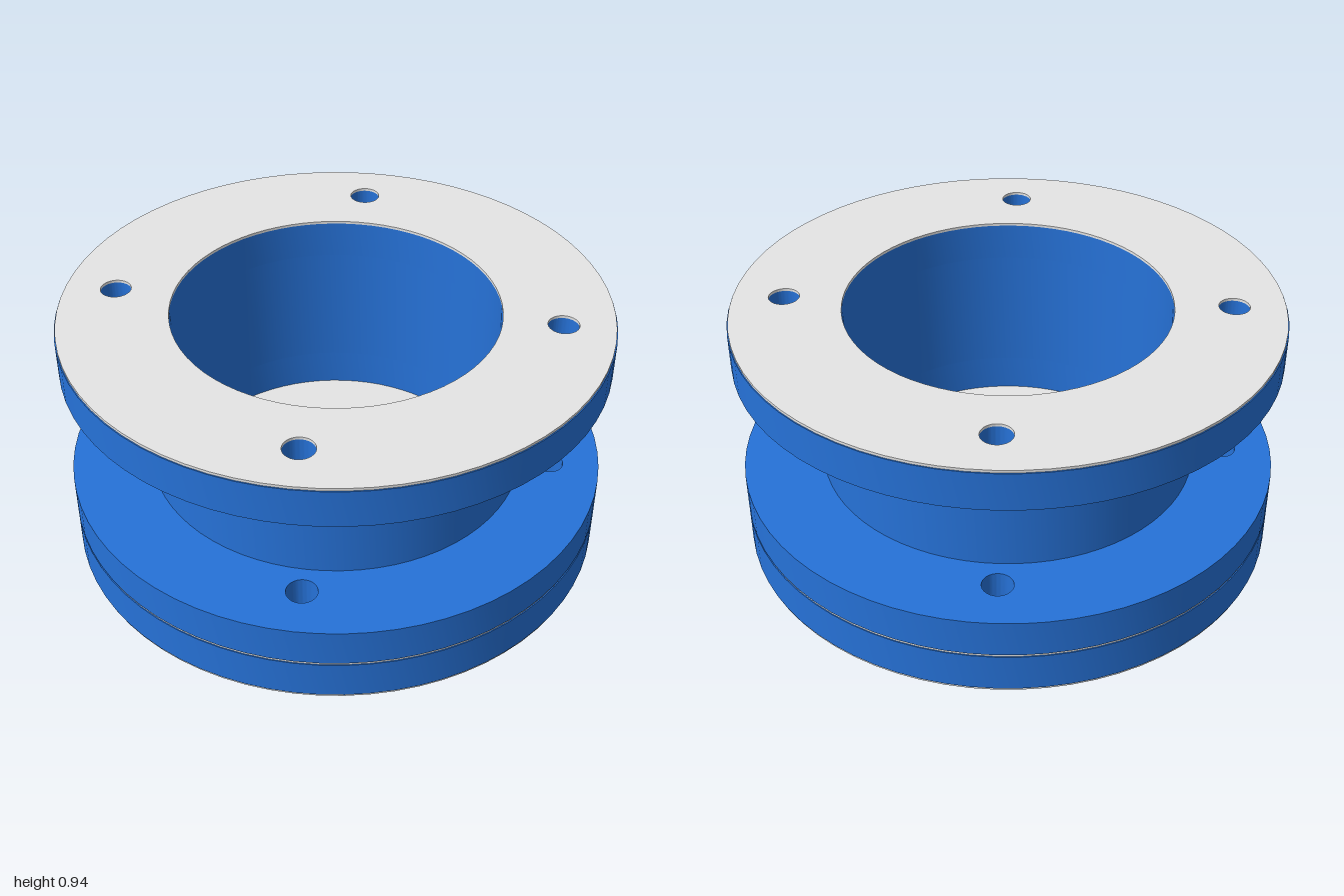
import * as THREE from 'three';
import { toCreasedNormals } from 'three/addons/utils/BufferGeometryUtils.js';

const BOLT = 0.573, BOLT_R = 0.056, BORE = 0.597, PIN = 0.04, GASKET = 0.996;

const circle = (r, x = 0, y = 0) => new THREE.Path().absarc(x, y, r, 0, Math.PI * 2, false);

// Flat disc outline with optional central hole and four bolt holes
function disc(radius, hole, bolts) {
  const shape = new THREE.Shape().absarc(0, 0, radius, 0, Math.PI * 2, false);
  if (hole) shape.holes.push(circle(hole));
  if (bolts) {
    for (const sx of [-1, 1]) for (const sy of [-1, 1]) {
      shape.holes.push(circle(BOLT_R, sx * BOLT, sy * BOLT));
    }
  }
  return shape;
}

// Raise an outline from y0 to y1
function slab(shape, y0, y1) {
  const geo = new THREE.ExtrudeGeometry(shape, { depth: y1 - y0, bevelEnabled: false, curveSegments: 36 });
  geo.rotateX(-Math.PI / 2);
  geo.translate(0, y0, 0);
  return toCreasedNormals(geo, 0.6);
}

export function createModel() {
  const group = new THREE.Group();
  const blue = new THREE.MeshStandardMaterial({ color: 0x2672d8 });
  blue.name = 'blue body';
  const gray = new THREE.MeshStandardMaterial({ color: 0xe5e5e5 });
  gray.name = 'gray gasket';

  const add = (name, shape, y0, y1, material) => {
    const mesh = new THREE.Mesh(slab(shape, y0, y1), material);
    mesh.name = name;
    group.add(mesh);
  };

  // Lower flange with six wedge openings that leave a spoked grille
  const grille = disc(1, PIN, true);
  const spoke = 0.12, rim = 0.525, step = Math.PI / 3;
  const inset = Math.asin(spoke / 2 / rim);
  for (let i = 0; i < 6; i++) {
    const a = i * step, mid = a + step / 2;
    const wedge = new THREE.Path();
    wedge.moveTo(spoke * Math.cos(mid), spoke * Math.sin(mid));
    wedge.lineTo(rim * Math.cos(a + inset), rim * Math.sin(a + inset));
    wedge.absarc(0, 0, rim, a + inset, a + step - inset, false);
    wedge.closePath();
    grille.holes.push(wedge);
  }
  add('grilleFlange', grille, 0.01, 0.157, blue);

  // Hollow body: two flanges joined by a neck
  add('middleFlange', disc(1, BORE, true), 0.167, 0.31, blue);
  add('neck', disc(0.703, BORE, false), 0.31, 0.787, blue);
  add('topFlange', disc(1, BORE, true), 0.787, 0.93, blue);

  // Gaskets and the valve membrane clamped between the flanges
  add('bottomGasket', disc(GASKET, BORE, true), 0, 0.01, gray);
  add('membrane', disc(GASKET, PIN, true), 0.157, 0.167, gray);
  add('topGasket', disc(GASKET, BORE, true), 0.93, 0.94, gray);

  // Retaining washer on the membrane
  add('washer', disc(0.214, PIN, false), 0.167, 0.197, blue);

  return group;
}
